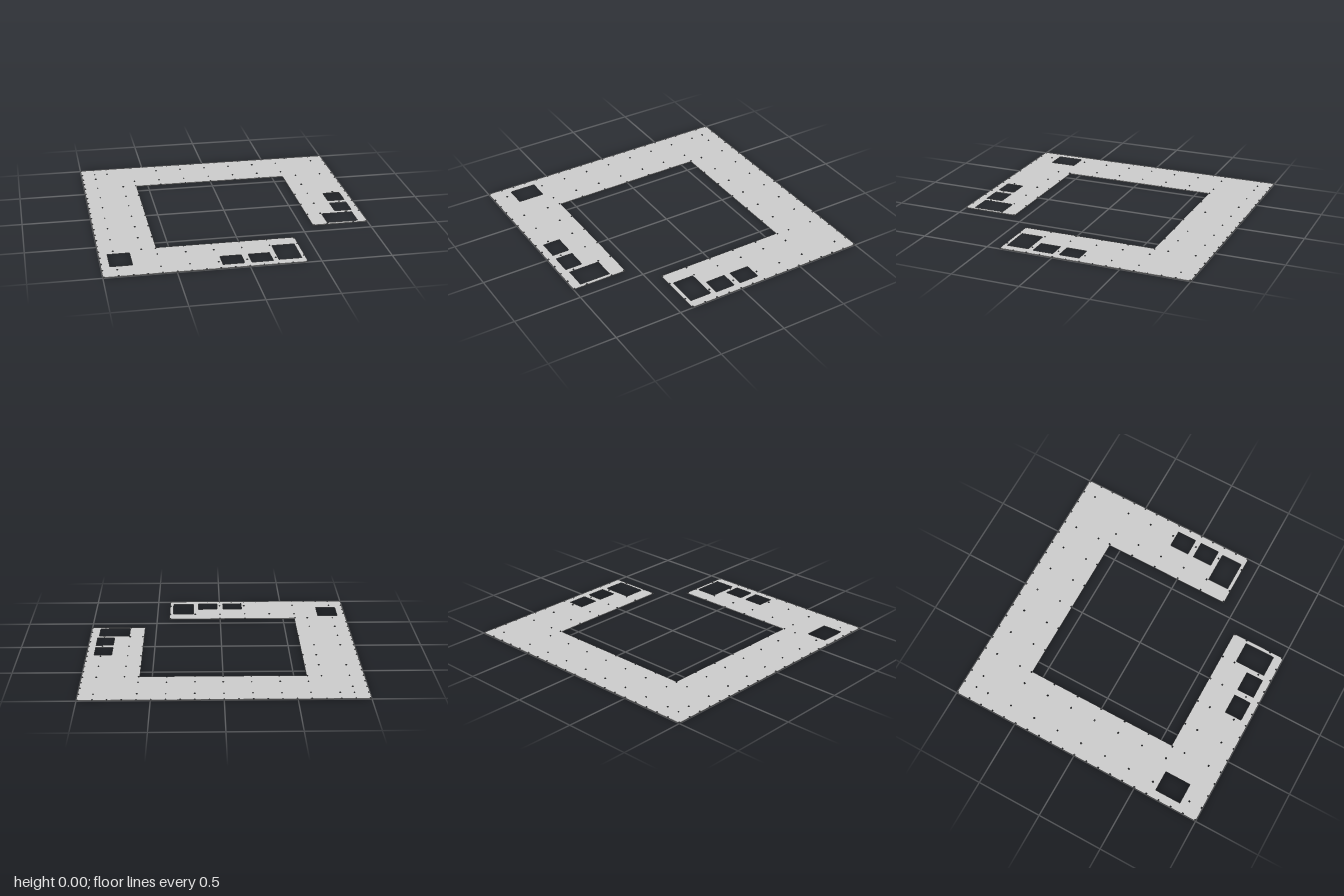
import * as THREE from 'three';

const THICKNESS = 0.005;
const PITCH = 0.0993; // spacing of the fixing-hole grid
const HOLE_R = 0.005;

// Plan coordinates are (x, z); shapes use y = -z so the plate can be laid flat.
const toShape = (pts) => pts.map(([x, z]) => new THREE.Vector2(x, -z));

// Large openings along the front arm: x0, x1, z0, z1
const ARM_WINDOWS = [
  [-0.177, -0.027, 0.813, 0.942],
  [0.022, 0.172, 0.813, 0.942],
  [0.213, 0.375, 0.702, 0.932],
];
const CORNER_WINDOW = [-0.938, -0.783, 0.643, 0.84];

// Grid indices (0..20) of the small holes; the pattern is symmetric about x = z
function fixingHoles() {
  const cells = new Map();
  const add = (i, j) => {
    cells.set(`${i},${j}`, [i, j]);
    cells.set(`${j},${i}`, [j, i]);
  };
  for (let i = 0; i <= 20; i++) add(i, 0);
  for (let i = 0; i <= 14; i++) add(i, 20);
  for (let i = 4; i <= 16; i += 2) for (const j of [1, 3, 4]) add(i, j);
  for (let i = 4; i <= 14; i += 2) for (const j of [16, 17, 19]) add(i, j);
  add(1, 1);
  add(2, 1);
  add(1, 19);
  return [...cells.values()].map(([i, j]) => [(i - 10) * PITCH, (j - 10) * PITCH]);
}

function rectPath([x0, x1, z0, z1]) {
  return new THREE.Path(toShape([[x0, z0], [x1, z0], [x1, z1], [x0, z1]]));
}

function circlePath([x, z]) {
  const pts = [];
  for (let k = 0; k < 10; k++) {
    const a = (k / 10) * Math.PI * 2;
    pts.push([x + HOLE_R * Math.cos(a), z + HOLE_R * Math.sin(a)]);
  }
  return new THREE.Path(toShape(pts));
}

export function createModel() {
  const group = new THREE.Group();
  group.name = 'perforatedFrame';

  // Square frame with an open front-left corner
  const shape = new THREE.Shape(toShape([
    [-1, -1], [1, -1], [1, 0.403], [0.587, 0.403], [0.587, -0.59],
    [-0.59, -0.59], [-0.59, 0.587], [0.403, 0.587], [0.403, 1], [-1, 1],
  ]));

  // Windows on the front arm, repeated on the side arm by swapping x and z
  shape.holes.push(rectPath(CORNER_WINDOW));
  for (const [x0, x1, z0, z1] of ARM_WINDOWS) {
    shape.holes.push(rectPath([x0, x1, z0, z1]), rectPath([z0, z1, x0, x1]));
  }

  // Small fixing holes
  for (const p of fixingHoles()) shape.holes.push(circlePath(p));

  const geometry = new THREE.ExtrudeGeometry(shape, { depth: THICKNESS, bevelEnabled: false });
  geometry.rotateX(-Math.PI / 2);

  const plate = new THREE.Mesh(geometry, new THREE.MeshStandardMaterial({ color: 0xcccccc }));
  plate.name = 'framePlate';
  group.add(plate);
  return group;
}
